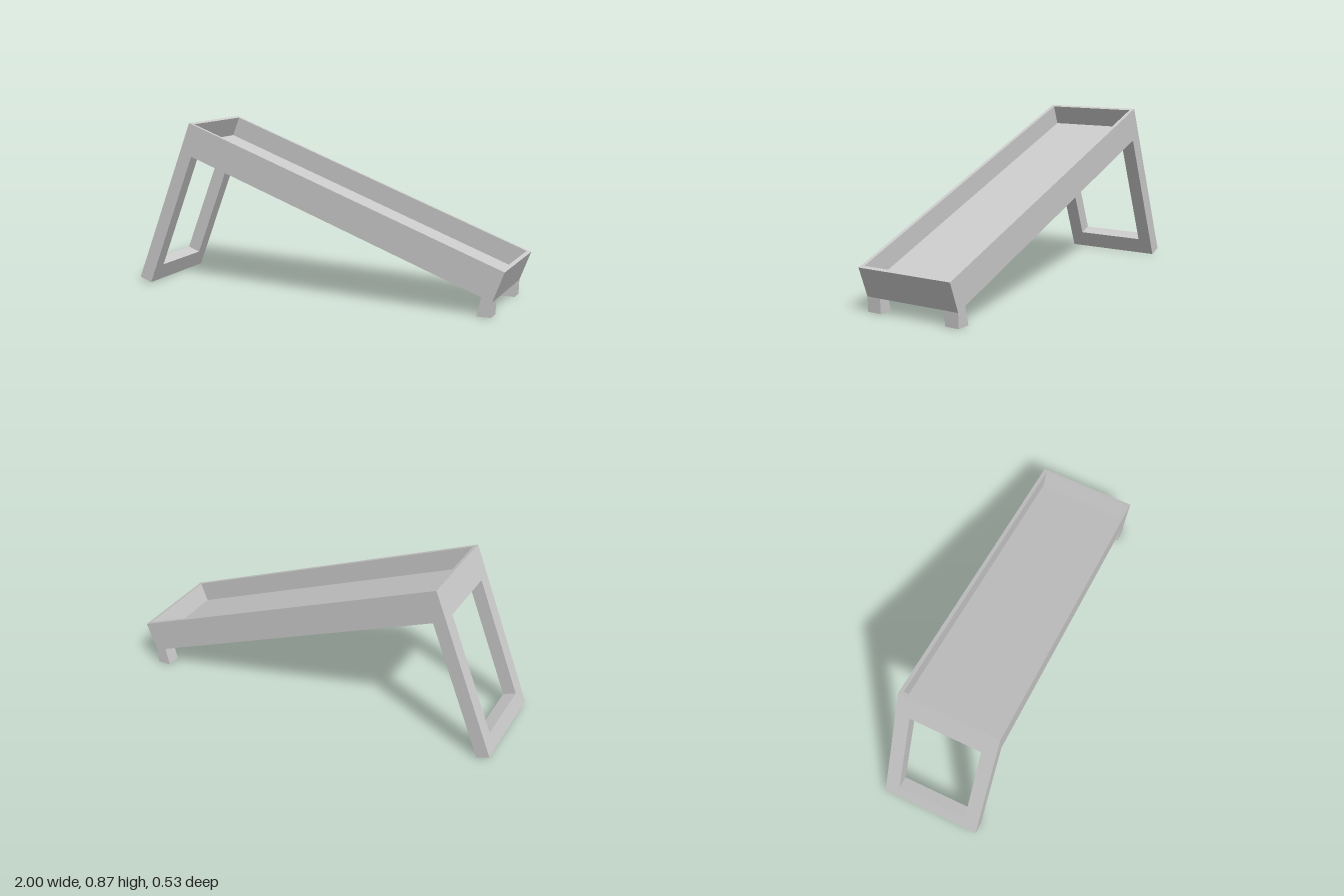
import * as THREE from 'three';

const TILT = -0.3645;              // slope of the tray
const LENGTH = 1.798, HALF = 0.265; // tray length and half width
const DEPTH = 0.16, WELL = 0.106;  // tray height and depth of its recess
const WALL = 0.02, BAR = 0.07;     // rim and leg thickness
const LEG = 0.898;                 // rim to leg foot, along the leg

const material = new THREE.MeshStandardMaterial({ color: 0xcccccc, flatShading: true });

function part(name, geometry, parent) {
  const mesh = new THREE.Mesh(geometry, material);
  mesh.name = name;
  parent.add(mesh);
  return mesh;
}

const polygon = (points) => new THREE.Shape(points.map(([x, y]) => new THREE.Vector2(x, y)));
const extrude = (shape, depth) => new THREE.ExtrudeGeometry(shape, { depth, bevelEnabled: false });
const rectangle = (x0, y0, x1, y1) => [[x0, y0], [x1, y0], [x1, y1], [x0, y1]];

export function createModel() {
  const model = new THREE.Group();
  model.name = 'slopedTrayStand';

  // Tilted assembly, with its origin at the upper rim corner
  const tilted = new THREE.Group();
  tilted.name = 'tiltedFrame';
  tilted.position.set(-0.68, 0.865, 0);
  tilted.rotation.z = TILT;
  model.add(tilted);

  // Tray rim: thin wall around the recess
  const rim = polygon(rectangle(0, -HALF, LENGTH, HALF));
  rim.holes.push(polygon(rectangle(WALL, -HALF + WALL, LENGTH - WALL, HALF - WALL)));
  part('trayRim', extrude(rim, WELL).rotateX(-Math.PI / 2).translate(0, -WELL, 0), tilted);

  // Tray floor slab
  part('trayFloor', new THREE.BoxGeometry(LENGTH, DEPTH - WELL, HALF * 2), tilted)
    .position.set(LENGTH / 2, -(WELL + DEPTH) / 2, 0);

  // Tall leg: U-shaped frame square to the tray
  const inner = 0.19, sill = -LEG + 0.092;
  const frame = polygon([
    [-HALF, -DEPTH], [-HALF, -LEG], [HALF, -LEG], [HALF, -DEPTH],
    [inner, -DEPTH], [inner, sill], [-inner, sill], [-inner, -DEPTH],
  ]);
  part('tallLegFrame', extrude(frame, BAR).rotateY(Math.PI / 2), tilted);

  // Two short feet under the low end
  const foot = polygon([[0.868, 0], [0.94, 0], [0.943, 0.0745], [0.89, 0.0947]]);
  const footWidth = HALF - 0.188;
  for (const [name, z] of [['frontFoot', 0.188], ['backFoot', -HALF]]) {
    part(name, extrude(foot, footWidth), model).position.z = z;
  }
  return model;
}
